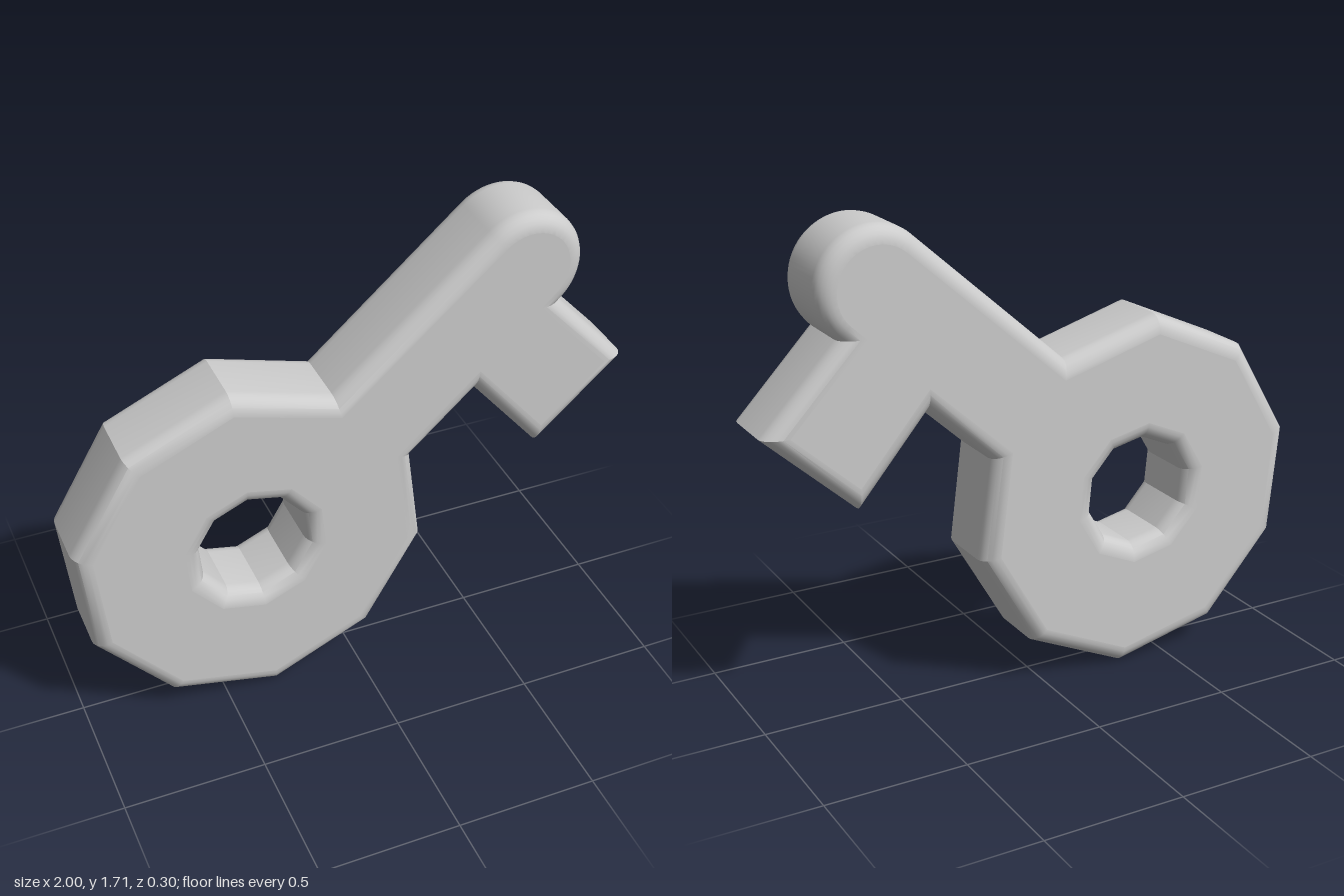
import * as THREE from 'three';
import { toCreasedNormals } from 'three/addons/utils/BufferGeometryUtils.js';

const BEVEL = 0.06, DEPTH = 0.3;

// Faceted bow, then the toothed underside of the shaft, then its round tip
function keyOutline() {
  const corners = [
    [-0.08, 1.18], [-0.44, 1.285], [-0.8, 1.125], [-1, 0.785], [-0.96, 0.39],
    [-0.7, 0.09], [-0.315, 0], [0.045, 0.165], [0.245, 0.51], [0.2, 0.87],
    [0.43, 1.08], [0.68, 0.785], [1, 1.075],
  ];
  const shape = new THREE.Shape(corners.map(([x, y]) => new THREE.Vector2(x, y)));
  const rad = THREE.MathUtils.degToRad;
  shape.absarc(0.6, 1.51, 0.203, rad(-49), rad(131.6), false);
  shape.closePath();
  return shape;
}

// Ten-sided ring hole
function ringHole() {
  const points = [];
  for (let i = 0; i < 10; i++) {
    const a = THREE.MathUtils.degToRad(95.5 - i * 36);
    points.push(new THREE.Vector2(-0.377 + 0.195 * Math.cos(a), 0.65 + 0.195 * Math.sin(a)));
  }
  return new THREE.Path(points).closePath();
}

// Keep the two broad faces perfectly flat beside the rounded edges
function flattenCaps(geometry) {
  const p = geometry.attributes.position, n = geometry.attributes.normal;
  for (let i = 0; i < p.count; i += 3) {
    const z = [0, 1, 2].map((k) => p.getZ(i + k));
    if (z.every((v) => Math.abs(Math.abs(v) - DEPTH / 2) < 1e-5)) {
      for (let k = 0; k < 3; k++) n.setXYZ(i + k, 0, 0, Math.sign(z[0]));
    }
  }
  return geometry;
}

export function createModel() {
  const group = new THREE.Group();
  group.name = 'key';

  const shape = keyOutline();
  shape.holes.push(ringHole());
  const geometry = new THREE.ExtrudeGeometry(shape, {
    depth: DEPTH - 2 * BEVEL,
    curveSegments: 20,
    bevelEnabled: true,
    bevelThickness: BEVEL,
    bevelSize: BEVEL,
    bevelOffset: -BEVEL,
    bevelSegments: 6,
  });
  geometry.translate(0, 0, BEVEL - DEPTH / 2);

  const body = new THREE.Mesh(
    flattenCaps(toCreasedNormals(geometry, 0.42)),
    new THREE.MeshStandardMaterial({ color: 0xcccccc }),
  );
  body.name = 'keyBody';
  group.add(body);
  return group;
}
